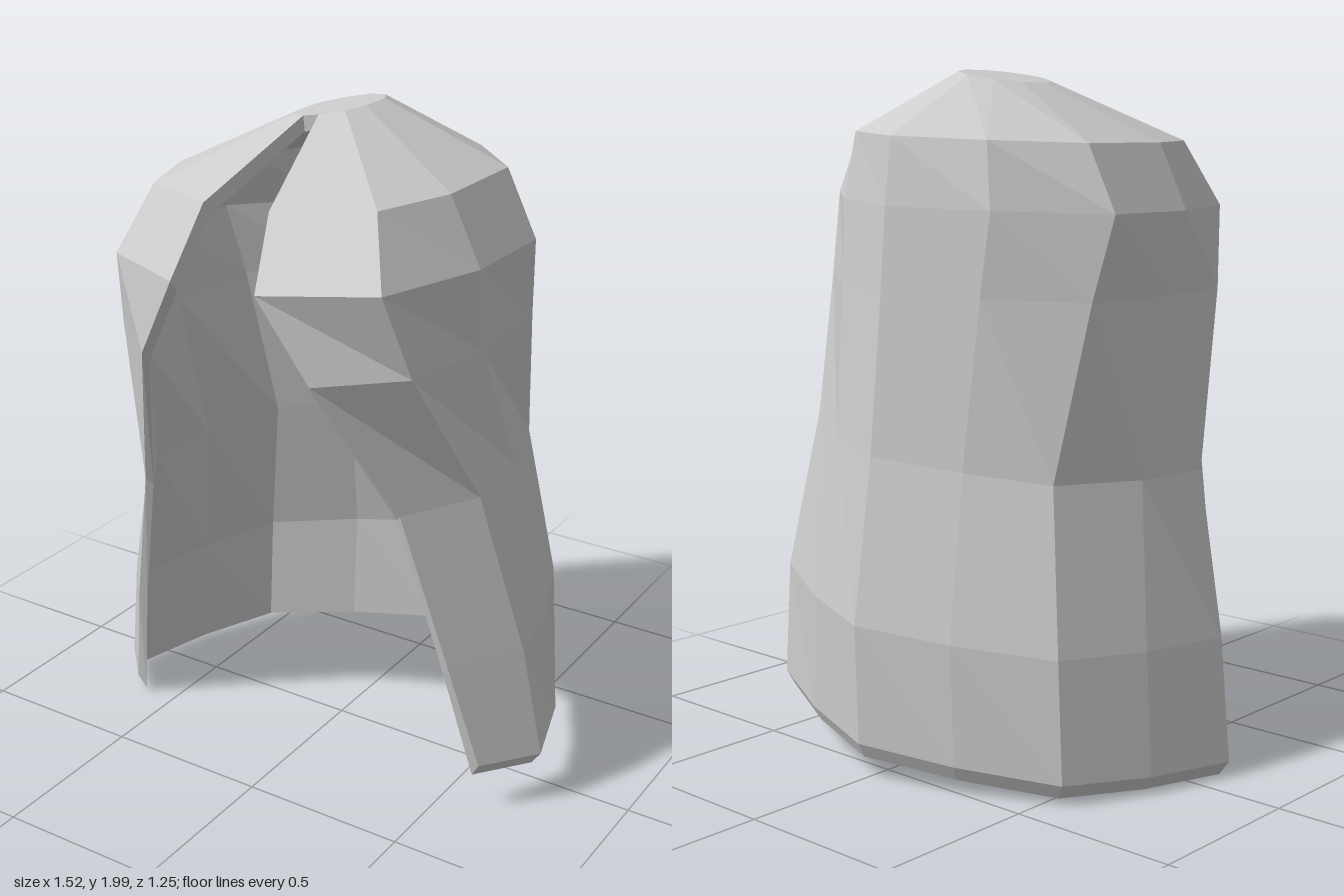
import * as THREE from 'three';

// Each ring: height at centre, sideways tilt, drop of the lining,
// then [x, z] from the left front edge round to the centre back.
const RINGS = [
  { y: 1.98, tilt: 0.18, drop: 0.045, half: [[0.025, 0.155], [0.085, 0.115], [0.11, 0.05], [0.11, -0.05], [0.07, -0.12], [0, -0.155]] },
  { y: 1.81, tilt: 0.045, drop: 0.04, half: [[0.105, 0.51], [0.36, 0.395], [0.445, 0.165], [0.445, -0.155], [0.255, -0.355], [0, -0.465]] },
  { y: 1.62, tilt: 0.035, drop: 0.03, half: [[0.135, 0.625], [0.43, 0.485], [0.54, 0.165], [0.54, -0.155], [0.285, -0.375], [0, -0.49]] },
  { y: 1.38, tilt: 0.03, drop: 0.02, half: [[0.275, 0.585], [0.48, 0.41], [0.53, 0.12], [0.51, -0.215], [0.27, -0.4], [0, -0.51]] },
  { y: 0.93, tilt: 0.12, drop: 0.02, half: [[0.44, 0.395], [0.58, 0.2], [0.56, -0.05], [0.465, -0.32], [0.25, -0.45], [0, -0.555]] },
  { y: 0.46, tilt: 0.086, drop: 0.025, half: [[0.555, 0.315], [0.705, 0.14], [0.645, -0.13], [0.54, -0.385], [0.275, -0.53], [0, -0.625]] },
  { y: 0.115, tilt: 0.085, drop: 0.043, half: [[0.63, 0.25], [0.76, 0.11], [0.68, -0.15], [0.56, -0.39], [0.285, -0.525], [0, -0.615]] },
];

// Full rings, mirrored across x, for the outside and the lining
function makeRings(inner) {
  return RINGS.map(({ y, tilt, drop, half }) => {
    const right = half.slice(0, -1).reverse().map(([x, z]) => [-x, z]);
    return [...half, ...right].map(([x, z]) => {
      const p = new THREE.Vector3(x, y + tilt * x, z);
      if (inner) {
        p.x *= 0.96;
        p.z *= 0.965;
        p.y -= drop;
      }
      return p;
    });
  });
}

function makeMesh(name, faces, material) {
  const points = [];
  for (const f of faces) {
    for (let i = 1; i < f.length - 1; i++) points.push(f[0], f[i], f[i + 1]);
  }
  const geometry = new THREE.BufferGeometry().setFromPoints(points);
  geometry.computeVertexNormals();
  const mesh = new THREE.Mesh(geometry, material);
  mesh.name = name;
  return mesh;
}

// Side panels between neighbouring rings
function panels(rings) {
  const faces = [];
  for (let r = 0; r < rings.length - 1; r++) {
    for (let c = 0; c < rings[r].length - 1; c++) {
      faces.push([rings[r][c], rings[r + 1][c], rings[r + 1][c + 1], rings[r][c + 1]]);
    }
  }
  return faces;
}

export function createModel() {
  const group = new THREE.Group();
  group.name = 'hair';
  const grey = new THREE.MeshStandardMaterial({ color: 0xcccccc });
  grey.name = 'light grey';
  grey.flatShading = true;

  const outer = makeRings(false);
  const inner = makeRings(true);
  const last = outer[0].length - 1;
  const end = outer.length - 1;
  const flip = (f) => [...f].reverse();

  // Outer locks and crown
  group.add(makeMesh('outerHair', panels(outer), grey));
  group.add(makeMesh('crown', [outer[0]], grey));

  // Lining inside the shell
  group.add(makeMesh('lining', [...panels(inner).map(flip), flip(inner[0])], grey));

  // Edges beside the front opening
  const leftEdge = [];
  const rightEdge = [];
  for (let r = 0; r < end; r++) {
    leftEdge.push([outer[r + 1][0], outer[r][0], inner[r][0], inner[r + 1][0]]);
    rightEdge.push([outer[r][last], outer[r + 1][last], inner[r + 1][last], inner[r][last]]);
  }
  group.add(makeMesh('leftFrontEdge', leftEdge, grey));
  group.add(makeMesh('rightFrontEdge', rightEdge, grey));

  // Front edge of the crown, and the hem
  group.add(makeMesh('crownEdge', [[outer[0][0], outer[0][last], inner[0][last], inner[0][0]]], grey));
  const hem = [];
  for (let c = 0; c < last; c++) {
    hem.push([outer[end][c + 1], outer[end][c], inner[end][c], inner[end][c + 1]]);
  }
  group.add(makeMesh('hem', hem, grey));

  return group;
}
